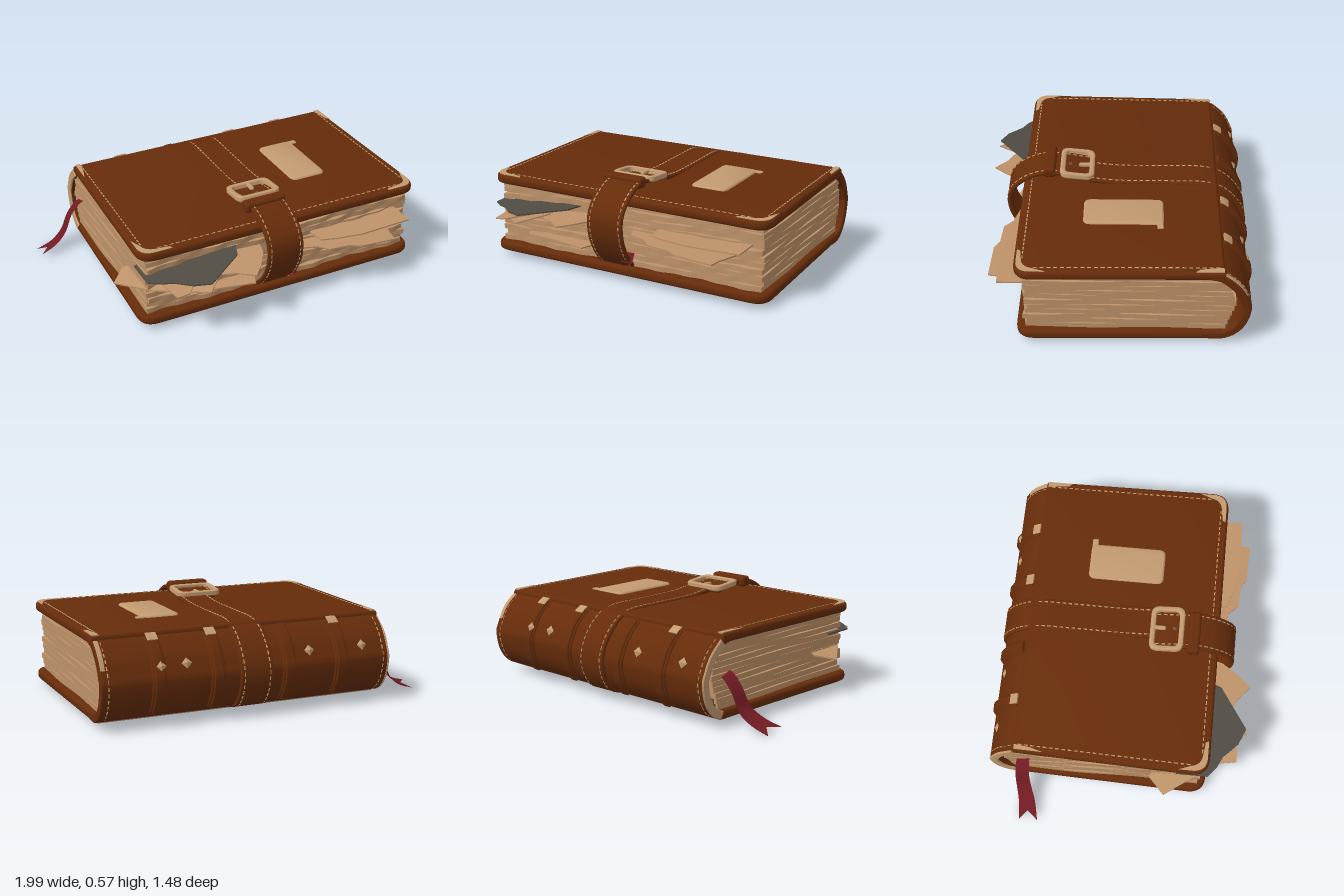
import * as THREE from 'three';
import { mergeGeometries, toCreasedNormals } from 'three/addons/utils/BufferGeometryUtils.js';
import { RoundedBoxGeometry } from 'three/addons/geometries/RoundedBoxGeometry.js';

const paint = (name, color, side = THREE.FrontSide) => {
  const m = new THREE.MeshStandardMaterial({ color, side });
  m.name = name;
  return m;
};
const leather = paint('brown leather', 0x662c0a);
const worn = paint('worn tan', 0xc29a70);
const paper = paint('old paper', 0xbe9269);
const gapDark = paint('page shadow brown', 0x66543f);
const darkPaper = paint('grey paper', 0x504c44);
const base = paint('bottom taupe', 0x947558);
const red = paint('ribbon red', 0x701a22, THREE.DoubleSide);

const hash = (a, b) => {
  const s = Math.sin(a * 127.1 + b * 311.7) * 43758.5453;
  return s - Math.floor(s) - 0.5;
};

export function createModel() {
  const model = new THREE.Group();
  const add = (name, geo, mat) => {
    const m = new THREE.Mesh(geo, mat);
    m.name = name;
    model.add(m);
    return m;
  };
  const V = (x, y, z) => new THREE.Vector3(x, y, z);

  // Bent leather band: a path in (z, y), offset inwards, extruded along x
  const band = (name, path, thick, x0, x1, mat, out = 0) => {
    const curve = new THREE.SplineCurve(path.map(p => new THREE.Vector2(...p)));
    const outer = [], inner = [];
    for (let i = 0; i <= 48; i++) {
      const p = curve.getPoint(i / 48), t = curve.getTangent(i / 48);
      outer.push(new THREE.Vector2(p.x + t.y * out, p.y - t.x * out));
      inner.unshift(new THREE.Vector2(p.x - t.y * thick, p.y + t.x * thick));
    }
    const b = Math.min(0.005, (thick + out) / 4);
    const geo = new THREE.ExtrudeGeometry(new THREE.Shape([...outer, ...inner]), {
      depth: x1 - x0 - 2 * b, bevelSize: b, bevelThickness: b, bevelOffset: -b, bevelSegments: 1,
    });
    geo.rotateY(-Math.PI / 2).translate(x1 - b, 0, 0);
    return add(name, toCreasedNormals(geo, 0.6), mat);
  };

  // Flat plate from an outline in (x, z), top face at y
  const plate = (shape, y, thick, bevel = 0) => {
    const geo = new THREE.ExtrudeGeometry(shape, {
      depth: thick - 2 * bevel, bevelEnabled: bevel > 0, bevelSize: bevel,
      bevelThickness: bevel, bevelOffset: -bevel, bevelSegments: 4, curveSegments: 10,
    });
    return toCreasedNormals(geo.rotateX(Math.PI / 2).translate(0, y - bevel, 0), 0.7);
  };

  // Cover outline: rounded front corners, slightly narrower at the spine
  const coverShape = inset => {
    const s = new THREE.Shape(), l = -0.75 + inset, r = 0.99 - inset, f = 0.53 - inset, c = 0.1;
    s.moveTo(l + 0.03, -0.57);
    s.lineTo(r - 0.015, -0.57);
    s.lineTo(r, f - c);
    s.quadraticCurveTo(r, f, r - c, f);
    s.lineTo(l + c, f);
    s.quadraticCurveTo(l, f, l, f - c);
    s.closePath();
    return s;
  };
  add('topCover', plate(coverShape(0), 0.497, 0.055, 0.02), leather);
  add('bottomCover', plate(coverShape(0), 0.086, 0.055, 0.02), leather);
  add('bottomPanel', plate(coverShape(0.022), 0.034, 0.006), base);

  // Spine with soft raised ribs and a worn end
  const spine = [[-0.5, 0.49], [-0.58, 0.465], [-0.66, 0.39], [-0.705, 0.305], [-0.72, 0.25],
    [-0.7, 0.15], [-0.65, 0.075], [-0.58, 0.036], [-0.5, 0.033]];
  band('spine', spine, 0.045, -0.715, 0.975, leather);
  for (const x of [-0.41, -0.09, 0.33, 0.66]) {
    band('spineRib', spine.slice(1, 7), 0.02, x - 0.04, x + 0.04, leather, 0.01);
    band('spineRib', spine.slice(1, 7), 0.02, x - 0.028, x + 0.028, leather, 0.02);
  }
  band('wornSpineEnd', spine.slice(1, 8), 0.046, -0.72, -0.706, worn, 0.003);

  // Worn patches on ribs and spine
  for (const x of [-0.41, 0.33, 0.66]) {
    band('wornRib', [[-0.57, 0.469], [-0.59, 0.458], [-0.61, 0.442]], -0.015, x - 0.03, x + 0.03, worn, 0.024);
  }
  band('wornSpineSide', [[-0.575, 0.467], [-0.62, 0.434], [-0.66, 0.39], [-0.69, 0.335]], 0.004, 0.945, 0.97, worn, 0.004);
  for (const x of [0.65, 0.5, -0.22, -0.55]) {
    const g = new THREE.OctahedronGeometry(0.03).scale(1, 1, 0.4).rotateX(0.4);
    add('wornSpot', g.translate(x, 0.335, x === 0.65 ? -0.712 : -0.694), worn);
  }

  // Worn patches on the top cover: corner arcs and side strips
  const cornerWear = flip => {
    const s = new THREE.Shape(), X = x => (flip ? 0.24 - x : x);
    s.moveTo(X(0.976), 0.36);
    s.lineTo(X(0.977), 0.44);
    s.quadraticCurveTo(X(0.974), 0.515, X(0.9), 0.517);
    s.lineTo(X(0.8), 0.517);
    s.lineTo(X(0.81), 0.499);
    s.lineTo(X(0.88), 0.49);
    s.quadraticCurveTo(X(0.94), 0.485, X(0.95), 0.43);
    s.closePath();
    return s;
  };
  for (const flip of [false, true]) add('wornCorner', plate(cornerWear(flip), 0.4985, 0.007), worn);
  const wearStrip = pts => new THREE.Shape(pts.map(q => new THREE.Vector2(...q)));
  add('wornEdge', plate(wearStrip([[0.935, -0.565], [0.968, -0.565], [0.969, -0.42], [0.95, -0.44]]), 0.499, 0.007), worn);
  add('wornEdge', plate(wearStrip([[-0.708, -0.565], [-0.68, -0.565], [-0.69, -0.48], [-0.712, -0.4]]), 0.499, 0.007), worn);

  // Page bundles with ragged, wavy edges
  add('pageCore', new THREE.BoxGeometry(1.62, 0.36, 1.04).translate(0.125, 0.265, -0.085), gapDark);
  const layers = 11;
  for (let i = 0; i < layers; i++) {
    const y = 0.102 + i * 0.0326;
    const mid = 1 - Math.abs(i / (layers - 1) - 0.5) * 2;
    const geo = new THREE.BoxGeometry(1.65, 0.0295, 1.07, 60, 1, 20);
    const p = geo.attributes.position;
    for (let k = 0; k < p.count; k++) {
      let x = p.getX(k), z = p.getZ(k);
      const front = Math.max(0, z / 0.535);
      const wave = (Math.sin(x * 6 + i * 0.5) * 0.006 + Math.sin(x * 17 + i * 0.9) * 0.003) * front;
      const fade = Math.min(1, Math.min(i, layers - 1 - i) / 2);
      const yy = p.getY(k) + wave * fade + Math.sin(z * 6 + i * 0.4) * 0.002 * fade;
      const edgeX = Math.abs(x) > 0.82;
      if (z > 0.53) z += Math.sin(x * 11 + i * 2.1) * 0.008 + Math.sin(x * 37 + i * 4) * 0.005 + hash(i, 3) * 0.02;
      if (edgeX) x += Math.sin(z * 9 + i * 2) * 0.004 + hash(i, 9) * 0.01;
      if (z < -0.53) z -= mid * 0.05;
      p.setXYZ(k, x + 0.125, yy + y, z - 0.055);
    }
    geo.computeVertexNormals();
    add('pageBundle', geo, paper);
  }

  // Loose sheets: outline in (x, z), height, sideways slope
  const sheets = [
    [[[-0.72, 0.35], [-0.72, 0.53], [-0.66, 0.58], [-0.6, 0.61], [-0.52, 0.69], [-0.43, 0.73], [-0.33, 0.66], [-0.2, 0.57], [-0.12, 0.35]], 0.372, 0.1, darkPaper],
    [[[-0.66, 0.35], [-0.62, 0.64], [-0.61, 0.69], [-0.54, 0.69], [-0.5, 0.64], [-0.2, 0.35]], 0.335, 0.12, paper],
    [[[-0.82, 0.29], [-0.73, 0.2], [-0.5, 0.3], [-0.3, 0.6], [-0.44, 0.74], [-0.68, 0.5]], 0.35, 0.27, paper],
    [[[-0.45, 0.35], [-0.32, 0.64], [-0.25, 0.67], [-0.17, 0.74], [-0.1, 0.66], [-0.04, 0.57], [0.02, 0.35]], 0.33, 0.06, paper],
    [[[0.12, 0.35], [0.2, 0.56], [0.3, 0.59], [0.35, 0.64], [0.48, 0.65], [0.53, 0.68], [0.75, 0.69], [0.76, 0.62], [0.85, 0.35]], 0.29, -0.04, paper],
    [[[0.3, 0.35], [0.33, 0.57], [0.42, 0.6], [0.57, 0.63], [0.88, 0.63], [0.88, 0.35]], 0.33, 0.03, paper],
    [[[-0.6, 0.35], [-0.5, 0.53], [-0.3, 0.55], [-0.1, 0.6], [0, 0.35]], 0.175, 0.03, paper],
  ];
  for (const [pts, y, slope, mat] of sheets) {
    const geo = plate(new THREE.Shape(pts.map(q => new THREE.Vector2(...q))), y, 0.008);
    const p = geo.attributes.position;
    for (let k = 0; k < p.count; k++) {
      p.setY(k, p.getY(k) + slope * (p.getX(k) - (pts[0][0] < 0 ? -0.3 : 0.5)));
    }
    geo.computeVertexNormals();
    add('looseSheet', geo, mat);
  }

  // Strap: long part over the spine, tail down the front
  const backPath = [[0.16, 0.525], [0, 0.507], [-0.3, 0.505], [-0.5, 0.501], [-0.6, 0.467], [-0.69, 0.378],
    [-0.738, 0.27], [-0.728, 0.16], [-0.665, 0.065], [-0.58, 0.032]];
  const frontPath = [[0.5, 0.085], [0.565, 0.16], [0.62, 0.27], [0.63, 0.38], [0.59, 0.46], [0.5, 0.525],
    [0.4, 0.553], [0.3, 0.545], [0.16, 0.52]];
  band('strapBack', backPath, 0.022, 0.015, 0.205, leather);
  band('strapFront', frontPath, 0.022, -0.04, 0.18, leather);
  add('strapKeeper', new RoundedBoxGeometry(0.25, 0.062, 0.068, 3, 0.018).translate(0.055, 0.543, 0.385), leather);

  // Buckle frame and prong, tipped up towards the front
  const rect = (s, x0, x1, z0, z1, r) => {
    s.moveTo(x0 + r, z0);
    s.lineTo(x1 - r, z0).quadraticCurveTo(x1, z0, x1, z0 + r);
    s.lineTo(x1, z1 - r).quadraticCurveTo(x1, z1, x1 - r, z1);
    s.lineTo(x0 + r, z1).quadraticCurveTo(x0, z1, x0, z1 - r);
    s.lineTo(x0, z0 + r).quadraticCurveTo(x0, z0, x0 + r, z0);
    return s;
  };
  const frame = rect(new THREE.Shape(), -0.065, 0.205, -0.098, 0.098, 0.05);
  frame.holes.push(rect(new THREE.Path(), -0.035, 0.175, -0.068, 0.068, 0.03));
  add('buckleFrame', plate(frame, 0.015, 0.034, 0.01).rotateX(-0.1).translate(0, 0.54, 0.228), worn);
  add('buckleProng', new RoundedBoxGeometry(0.024, 0.022, 0.08, 2, 0.008).translate(0.075, 0.535, 0.18), worn);
  add('strapHole', new THREE.BoxGeometry(0.02, 0.006, 0.02).translate(0.075, 0.541, 0.27), gapDark);

  // Raised label on the cover
  add('label', plate(rect(new THREE.Shape(), 0.36, 0.58, -0.26, 0.18, 0.04), 0.508, 0.03, 0.012), worn);
  add('labelTab', new RoundedBoxGeometry(0.06, 0.014, 0.035, 2, 0.006).translate(0.585, 0.498, -0.24), worn);

  // Stitching: short dashes along curves
  const dashes = [];
  const stitch = (curve, step = 0.035) => {
    const n = Math.round(curve.getLength() / step), pts = curve.getSpacedPoints(n);
    for (let i = 0; i < n; i++) {
      const g = new THREE.BoxGeometry(0.006, 0.005, step * 0.6);
      const m = new THREE.Matrix4().lookAt(pts[i + 1], pts[i], V(0.3, 1, 0));
      const c = pts[i].clone().add(pts[i + 1]).multiplyScalar(0.5);
      dashes.push(g.applyMatrix4(m.setPosition(c)));
    }
  };
  const line = (a, b) => stitch(new THREE.LineCurve3(a, b));
  line(V(-0.68, 0.497, -0.55), V(-0.705, 0.497, 0.43));
  line(V(0.935, 0.497, -0.55), V(0.945, 0.497, 0.43));
  line(V(-0.64, 0.497, 0.485), V(0.88, 0.497, 0.485));
  const along = (path, x) => stitch(new THREE.CatmullRomCurve3(path.map(([z, y]) => V(x, y, z))));
  for (const x of [0.035, 0.185]) along(backPath, x);
  for (const x of [-0.02, 0.16]) along(frontPath, x);
  for (const x of [-0.68, 0.935]) along(spine.slice(1, 8), x);
  add('stitching', mergeGeometries(dashes), worn);

  // Bookmark ribbon with a forked end
  const flow = new THREE.CatmullRomCurve3([V(-0.6, 0.27, -0.52), V(-0.71, 0.27, -0.53), V(-0.78, 0.2, -0.53),
    V(-0.83, 0.1, -0.52), V(-0.9, 0.045, -0.5), V(-1, 0.012, -0.485)]);
  const ribbon = new THREE.PlaneGeometry(1, 1, 20, 2);
  const rp = ribbon.attributes.position;
  for (let k = 0; k < rp.count; k++) {
    const u = rp.getX(k) + 0.5, v = rp.getY(k);
    const c = flow.getPoint(u * (v === 0 ? 0.9 : 1));
    rp.setXYZ(k, c.x, c.y + v * 0.024, c.z + v * (0.075 + 0.035 * u * u));
  }
  ribbon.computeVertexNormals();
  add('bookmarkRibbon', ribbon, red);
  add('ribbonEnd', new THREE.PlaneGeometry(0.07, 0.06).rotateX(-0.5).translate(0.16, 0.15, 0.53), red);

  return model;
}
